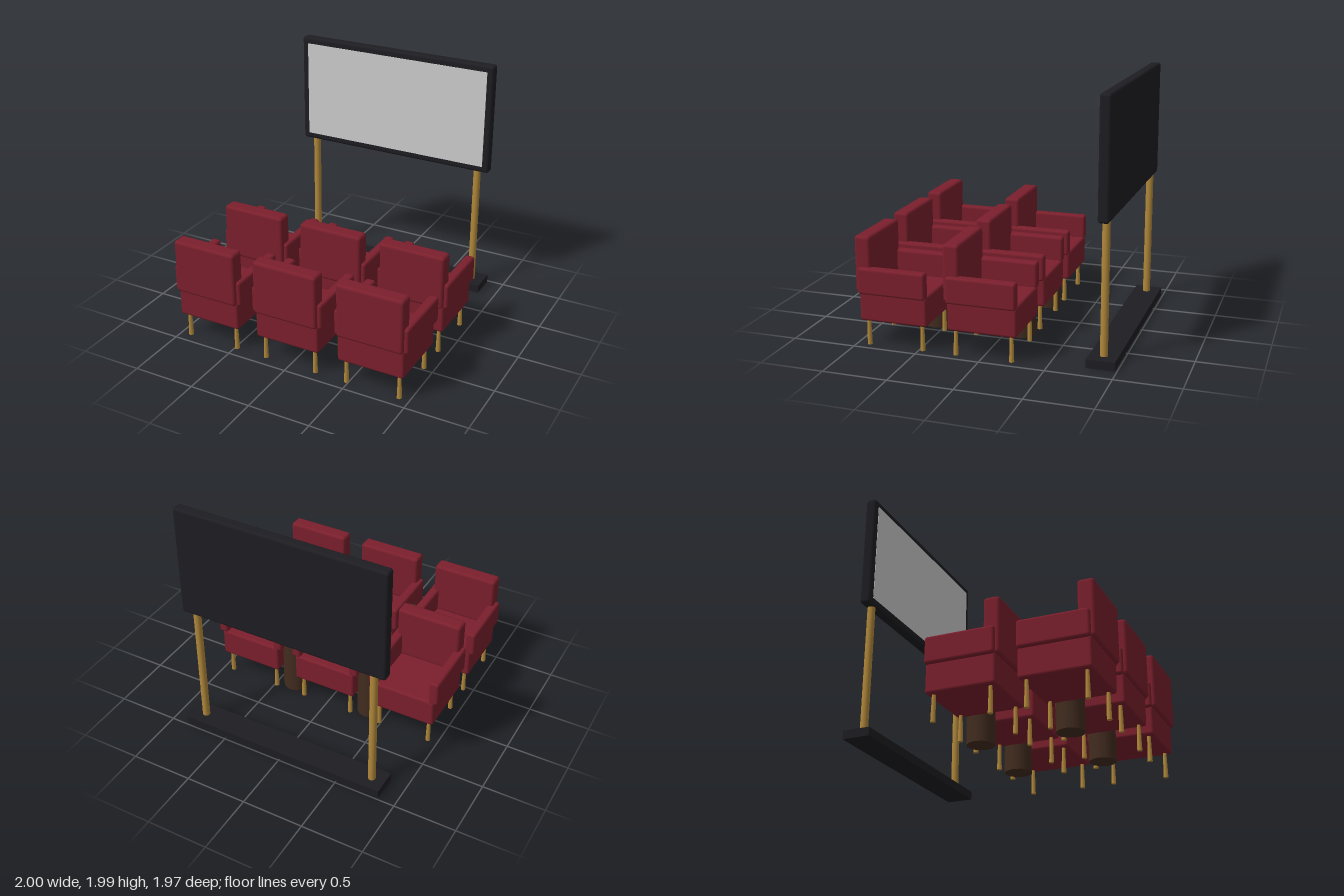
import * as THREE from 'three';
import { RoundedBoxGeometry } from 'three/addons/geometries/RoundedBoxGeometry.js';

const material = (color) => new THREE.MeshStandardMaterial({ color });
const red = material(0x7a1f2c);
const gold = material(0xb0873a);
const brown = material(0x422c1f);
const black = material(0x1d1d22);
const grey = material(0xcccccc);

function add(parent, name, geometry, mat, x, y, z) {
  const mesh = new THREE.Mesh(geometry, mat);
  mesh.name = name;
  mesh.position.set(x, y, z);
  parent.add(mesh);
  return mesh;
}

// Shared geometries
const seatGeo = new RoundedBoxGeometry(0.535, 0.23, 0.535, 2, 0.02);
const backGeo = new RoundedBoxGeometry(0.535, 0.44, 0.125, 2, 0.025);
const armGeo = new RoundedBoxGeometry(0.078, 0.206, 0.535, 2, 0.02);
const legGeo = new THREE.CylinderGeometry(0.014, 0.02, 0.21, 8);
const tableGeo = new THREE.CylinderGeometry(0.107, 0.107, 0.545, 12);
const postGeo = new THREE.CylinderGeometry(0.03, 0.03, 1.08, 12);

// Armchair facing the screen (-z)
function createChair() {
  const chair = new THREE.Group();
  chair.name = 'armchair';
  add(chair, 'seat', seatGeo, red, 0, 0.316, 0);
  add(chair, 'backrest', backGeo, red, 0, 0.64, 0.235);
  for (const sx of [-1, 1]) {
    add(chair, 'armrest', armGeo, red, sx * 0.26, 0.52, 0);
    for (const sz of [-1, 1]) {
      add(chair, 'leg', legGeo, gold, sx * 0.217, 0.105, sz * 0.217);
    }
  }
  return chair;
}

export function createModel() {
  const model = new THREE.Group();
  model.name = 'screeningRoom';

  // Two rows of three chairs with side tables between them
  for (const rowZ of [-0.012, 0.687]) {
    for (const x of [-0.7, 0, 0.7]) {
      const chair = createChair();
      chair.position.set(x, 0, rowZ);
      model.add(chair);
    }
    for (const x of [-0.35, 0.35]) {
      add(model, 'sideTable', tableGeo, brown, x, 0.2725, rowZ - 0.115);
    }
  }

  // Screen on two posts and a base
  const stand = new THREE.Group();
  stand.name = 'screenStand';
  stand.position.z = -0.877;
  add(stand, 'base', new THREE.BoxGeometry(1.72, 0.066, 0.214), black, 0, 0.033, 0);
  for (const x of [-0.752, 0.752]) add(stand, 'post', postGeo, gold, x, 0.58, 0);
  add(stand, 'screenFrame', new RoundedBoxGeometry(1.72, 0.912, 0.086, 2, 0.022), black, 0, 1.537, 0);
  add(stand, 'screenPanel', new THREE.BoxGeometry(1.614, 0.807, 0.01), grey, 0, 1.537, 0.041);
  model.add(stand);

  return model;
}
